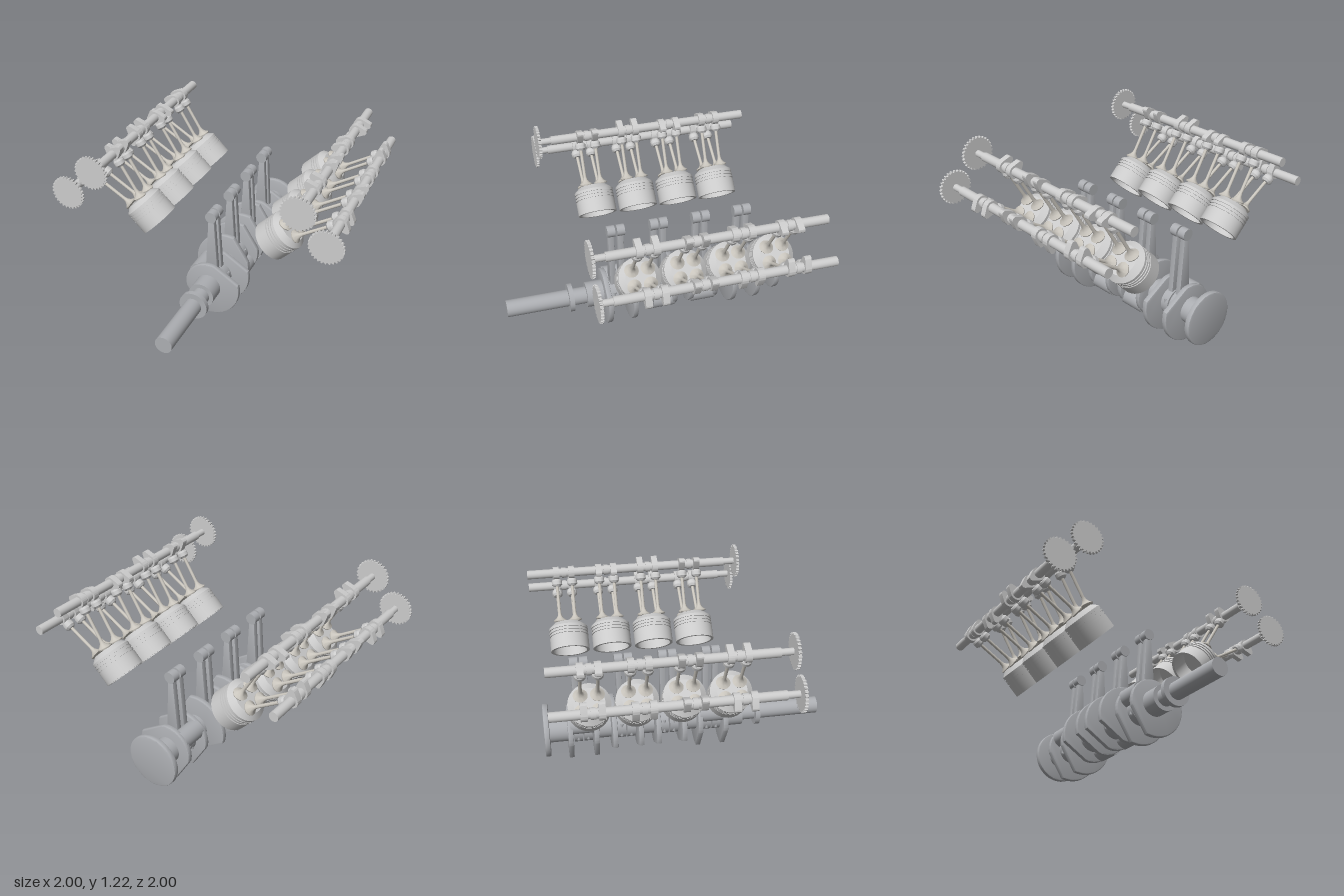
import * as THREE from 'three';
import { toCreasedNormals } from 'three/addons/utils/BufferGeometryUtils.js';

const steel = new THREE.MeshStandardMaterial({ color: 0xcccccc });
const forged = new THREE.MeshStandardMaterial({ color: 0xacaeb2 });
const valveSteel = new THREE.MeshStandardMaterial({ color: 0xc9c5bd });

const CRANK_Y = 0.23, PITCH = 0.304, FIRST = 0.207, HALF_GAP = 0.034;
const CAM_S = 1.112, CAM_LAT = 0.134; // camshaft position along / across the bank axis
const TAU = Math.PI * 2;

function add(parent, name, geo, mat, x = 0, y = 0, z = 0) {
  const m = new THREE.Mesh(geo, mat);
  m.name = name;
  m.position.set(x, y, z);
  parent.add(m);
  return m;
}

// cylinder lying along z, centred on the origin
const rodZ = (r, len, seg = 40) => new THREE.CylinderGeometry(r, r, len, seg).rotateX(Math.PI / 2);

// cylinder along z between two z values
const span = (parent, name, r, z0, z1, mat, x = 0, y = 0) =>
  add(parent, name, rodZ(r, z1 - z0), mat, x, y, (z0 + z1) / 2);

const lathe = (pts, seg) => toCreasedNormals(
  new THREE.LatheGeometry(pts.map(([r, y]) => new THREE.Vector2(r, y)), seg), 0.5);

// plate in the xy plane, centred on z = 0, with optional rounded edges
function plate(shape, depth, bevel = 0) {
  const geo = new THREE.ExtrudeGeometry(shape, {
    depth: depth - 2 * bevel, curveSegments: 24, bevelEnabled: bevel > 0,
    bevelSize: bevel, bevelThickness: bevel, bevelOffset: -bevel, bevelSegments: 2,
  });
  return toCreasedNormals(geo.translate(0, 0, bevel - depth / 2), 0.6);
}

// crank web: small arc on the pin side, large counterweight arc opposite
function webGeometry() {
  const s = new THREE.Shape();
  const deg = Math.PI / 180;
  s.absarc(0, 0, 0.171, 75 * deg, 195 * deg, false);
  s.absarc(0, 0, 0.225, 255.5 * deg, 374.5 * deg, false);
  s.closePath();
  return plate(s, 0.036, 0.006);
}

// cam lobe: base circle joined to a smaller nose circle pointing along +x
function lobeGeometry() {
  const s = new THREE.Shape();
  const base = 0.045, nose = 0.02, reach = 0.06;
  const a = Math.acos((base - nose) / reach);
  s.absarc(0, 0, base, a, TAU - a, false);
  s.absarc(reach, 0, nose, -a, a, false);
  s.closePath();
  return plate(s, 0.042);
}

function gearGeometry(teeth = 28, r = 0.117, depth = 0.011) {
  const pts = [];
  for (let i = 0; i < teeth; i++) {
    [[0, r - depth], [0.3, r - depth], [0.5, r], [0.8, r]].forEach(([f, rad]) => {
      const a = ((i + f) / teeth) * TAU;
      pts.push(new THREE.Vector2(rad * Math.cos(a), rad * Math.sin(a)));
    });
  }
  return plate(new THREE.Shape(pts), 0.02);
}

// shaft, webs and pins; the two middle throws sit opposite the outer two
function buildCrankshaft() {
  const g = new THREE.Group();
  g.name = 'crankshaft';
  g.position.y = CRANK_Y;
  span(g, 'frontShaft', 0.06, 0.42, 1, forged);
  span(g, 'frontCollar', 0.1, 0.53, 0.563, forged);
  const web = webGeometry();
  let front = 0.435;
  for (let i = 0; i < 4; i++) {
    const z = FIRST - PITCH * i;
    const turn = i === 0 || i === 3 ? 1 : -1;
    span(g, 'mainJournal', 0.09, z + 0.09, front, forged);
    for (const side of [1, -1]) {
      const w = add(g, 'crankWeb', web, forged, 0, 0, z + side * 0.09);
      if (turn < 0) w.rotation.z = Math.PI;
    }
    span(g, 'crankPin', 0.068, z - 0.09, z + 0.09, forged, -0.08 * turn, 0.08 * turn);
    front = z - 0.09;
  }
  span(g, 'rearJournal', 0.09, -0.95, front, forged);
  const disc = new THREE.Shape().absarc(0, 0, 0.186, 0, TAU, false);
  add(g, 'rearFlange', plate(disc, 0.038, 0.008), forged, 0, 0, -0.957);
  return g;
}

// upright rods, two side by side on every throw
function buildRods() {
  const g = new THREE.Group();
  g.name = 'connectingRods';
  g.position.y = CRANK_Y;
  const shank = plate(new THREE.Shape([[-0.045, 0.08], [0.045, 0.08], [0.02, 0.5], [-0.02, 0.5]]
    .map(([x, y]) => new THREE.Vector2(x, y))), 0.04, 0.004);
  const bigEnd = rodZ(0.1, 0.058), smallEnd = rodZ(0.04, 0.055, 28);
  const bolt = new THREE.CylinderGeometry(0.012, 0.012, 0.1, 12);
  for (let i = 0; i < 4; i++) {
    for (const side of [1, -1]) {
      const rod = new THREE.Group();
      rod.name = 'connectingRod';
      rod.position.z = FIRST - PITCH * i + side * HALF_GAP;
      add(rod, 'rodBigEnd', bigEnd, forged);
      add(rod, 'rodShank', shank, forged);
      add(rod, 'rodSmallEnd', smallEnd, forged, 0, 0.527);
      for (const x of [-0.085, 0.085]) add(rod, 'rodBolt', bolt, forged, x);
      g.add(rod);
    }
  }
  return g;
}

// hollow piston with ring grooves and a chamfered crown
const pistonGeometry = () => lathe([
  [0, 0.7], [0.12, 0.69], [0.12, 0.562], [0.139, 0.562], [0.139, 0.66],
  [0.132, 0.66], [0.132, 0.668], [0.139, 0.668], [0.139, 0.682], [0.132, 0.682],
  [0.132, 0.69], [0.139, 0.69], [0.139, 0.704], [0.132, 0.704], [0.132, 0.712],
  [0.139, 0.712], [0.139, 0.731], [0.1, 0.765], [0, 0.765],
], 48);

// one bank: local y runs along the cylinder axis, side is +1 (left) or -1 (right)
function buildBank(side) {
  const g = new THREE.Group();
  g.name = side > 0 ? 'leftBank' : 'rightBank';
  g.position.set(0, CRANK_Y, FIRST - side * HALF_GAP);
  g.rotation.z = -side * Math.PI / 4;

  const headLat = 0.05, headS = 0.772;
  const lean = Math.atan2(CAM_LAT - headLat, CAM_S - headS);
  const length = Math.hypot(CAM_LAT - headLat, CAM_S - headS);
  const piston = pistonGeometry(), lobe = lobeGeometry(), gear = gearGeometry();
  const valve = lathe([[0, 0], [0.044, 0], [0.047, 0.008], [0.026, 0.024], [0.015, 0.042],
    [0.011, 0.065], [0.011, length - 0.06], [0, length - 0.06]], 24);
  const tappet = lathe([[0, length - 0.098], [0.024, length - 0.098], [0.037, length - 0.084],
    [0.037, length - 0.058], [0.03, length - 0.046], [0, length - 0.046]], 24);
  const phases = [0, Math.PI / 2, -Math.PI / 4, Math.PI * 0.75];

  for (const lat of [1, -1]) {
    const cam = new THREE.Group();
    cam.name = 'camshaft';
    cam.position.set(lat * CAM_LAT, CAM_S, 0);
    span(cam, 'camShaft', 0.031, -1.172, 0.26, steel);
    span(cam, 'camSnout', 0.023, 0.25, 0.36, steel);
    add(cam, 'camGear', gear, steel, 0, 0, 0.35);
    g.add(cam);

    for (let i = 0; i < 4; i++) {
      const z = -PITCH * i;
      span(cam, 'camBearing', 0.037, z - 0.016, z + 0.016, steel);
      for (const dz of [-0.054, 0.054]) {
        // the nose is kept clear of its tappet
        const l = add(cam, 'camLobe', lobe, steel, 0, 0, z + dz);
        l.rotation.z = lat > 0 ? phases[i] : Math.PI - phases[i];
        const v = new THREE.Group();
        v.name = 'valve';
        v.position.set(lat * headLat, headS, z + dz);
        v.rotation.z = -lat * lean;
        add(v, 'valveStem', valve, valveSteel);
        add(v, 'tappet', tappet, steel);
        g.add(v);
      }
    }
  }
  for (let i = 0; i < 4; i++) add(g, 'piston', piston, steel, 0, 0, -PITCH * i);
  return g;
}

export function createModel() {
  const model = new THREE.Group();
  model.name = 'engineInternals';
  model.add(buildCrankshaft(), buildRods(), buildBank(1), buildBank(-1));
  return model;
}
